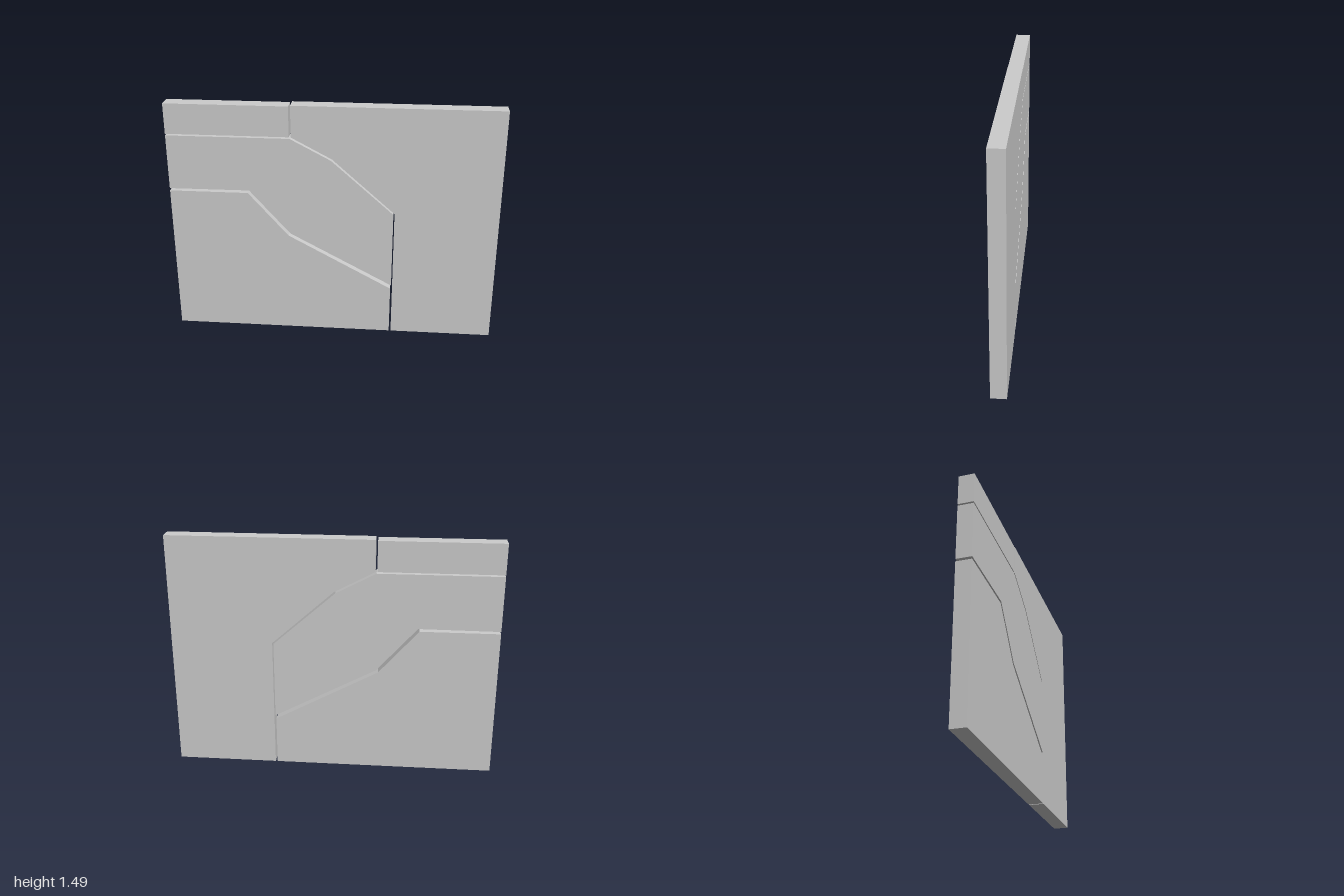
import * as THREE from 'three';

const DEPTH = 0.093;

// Flat panel cut from an outline in the xy plane, centred on z = 0
function panel(name, outline, material) {
  const shape = new THREE.Shape(outline.map(([x, y]) => new THREE.Vector2(x, y)));
  const geometry = new THREE.ExtrudeGeometry(shape, { depth: DEPTH, bevelEnabled: false });
  geometry.translate(0, 0, -DEPTH / 2);
  const mesh = new THREE.Mesh(geometry, material);
  mesh.name = name;
  return mesh;
}

export function createModel() {
  const group = new THREE.Group();
  group.name = 'splitWallPanel';
  const material = new THREE.MeshStandardMaterial({ color: 0xcccccc, flatShading: true });

  // Four interlocking panels separated by narrow gaps
  const outlines = {
    lowerPanel: [[-1, 0], [0.361, 0], [0.361, 0.31], [-0.276, 0.655], [-0.519, 0.931], [-1, 0.931]],
    middlePanel: [[-1, 0.946], [-0.51, 0.948], [-0.264, 0.67], [0.366, 0.333], [0.366, 0.82],
      [-0.013, 1.156], [-0.255, 1.284], [-1, 1.284]],
    upperPanel: [[-1, 1.294], [-0.26, 1.294], [-0.26, 1.48], [-1, 1.48]],
    sidePanel: [[0.373, 0], [1, 0], [1, 1.485], [-0.248, 1.485], [-0.248, 1.293],
      [-0.005, 1.164], [0.373, 0.826]],
  };
  for (const [name, outline] of Object.entries(outlines)) group.add(panel(name, outline, material));
  return group;
}
